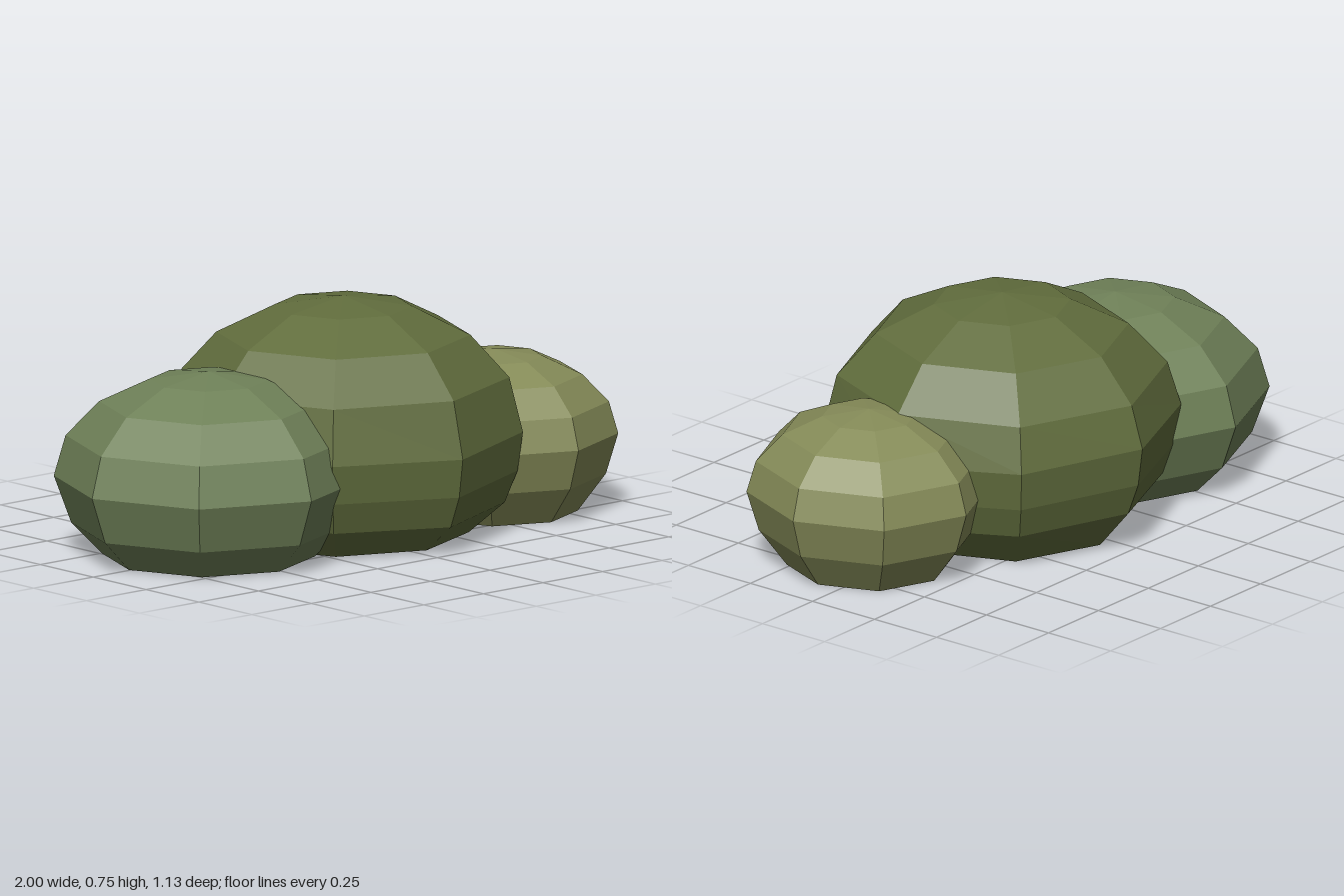
import * as THREE from 'three';

// Faceted eight-sided dome, open underneath; profile runs from the ground to the crown.
function bush(name, color, { x, z, r, rz, equator, top, lower, lean = 0 }) {
  const profile = lower.map(([radius, y]) => new THREE.Vector2(radius, y));
  for (let i = 0; i <= 4; i++) {
    const a = (i * Math.PI) / 8;
    profile.push(new THREE.Vector2(i === 4 ? 0 : r * Math.cos(a), equator + (top - equator) * Math.sin(a)));
  }
  const geometry = new THREE.LatheGeometry(profile, 8);

  // The flanks lean slightly, while the rim and the crown stay level.
  const p = geometry.attributes.position;
  for (let i = 0; i < p.count; i++) {
    const y = p.getY(i);
    if (y > 0.02 && y < equator + 0.01) p.setY(i, y - lean * p.getZ(i));
  }
  geometry.scale(1, 1, rz / r);
  geometry.computeVertexNormals();

  const mesh = new THREE.Mesh(
    geometry,
    new THREE.MeshStandardMaterial({ color, flatShading: true, side: THREE.DoubleSide })
  );
  mesh.name = name;
  mesh.position.set(x, 0, z);
  return mesh;
}

export function createModel() {
  const group = new THREE.Group();
  group.name = 'bushCluster';
  group.add(
    // Large middle bush
    bush('middleBush', 0x616d3d, {
      x: 0.05, z: 0, r: 0.565, rz: 0.565, equator: 0.34, top: 0.755, lean: 0.04,
      lower: [[0.395, 0], [0.508, 0.112], [0.548, 0.215]],
    }),
    // Medium bush on the right
    bush('rightBush', 0x6f8158, {
      x: -0.51, z: -0.005, r: 0.49, rz: 0.485, equator: 0.25, top: 0.59,
      lower: [[0.335, 0], [0.435, 0.1]],
    }),
    // Small bush on the left
    bush('leftBush', 0x858b58, {
      x: 0.62, z: 0.078, r: 0.38, rz: 0.392, equator: 0.25, top: 0.515,
      lower: [[0.255, 0], [0.342, 0.12]],
    })
  );
  return group;
}
